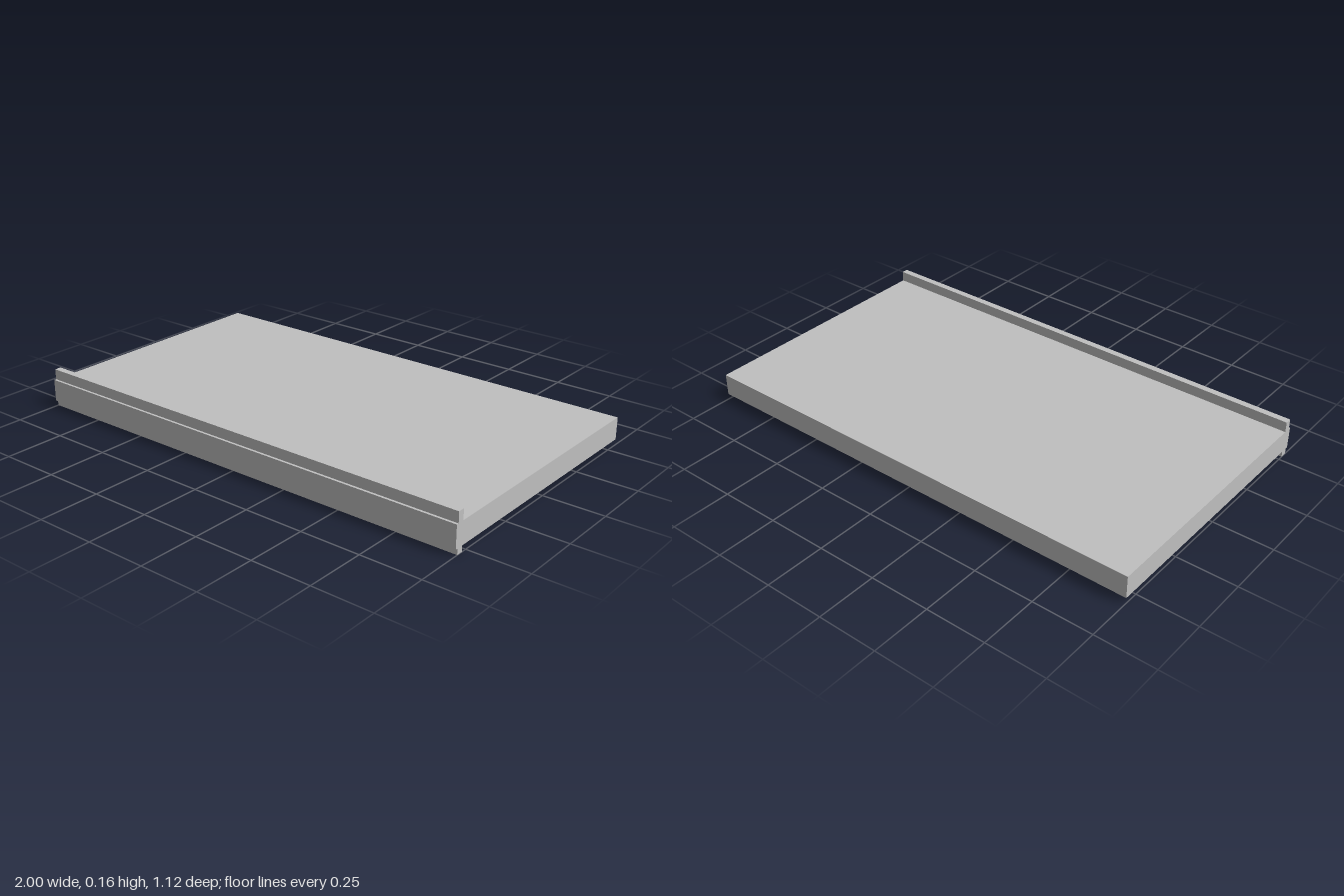
import * as THREE from 'three';

export function createModel() {
  const group = new THREE.Group();
  const grey = new THREE.MeshStandardMaterial({ color: 0xc0c0c0 });
  grey.name = 'light grey';

  // Box spanning the full width, given its y and z limits
  const addSlab = (name, y0, y1, z0, z1) => {
    const mesh = new THREE.Mesh(new THREE.BoxGeometry(2, y1 - y0, z1 - z0), grey);
    mesh.name = name;
    mesh.position.set(0, (y0 + y1) / 2, (z0 + z1) / 2);
    group.add(mesh);
  };

  // Main board
  addSlab('board', 0.024, 0.117, -0.56, 0.56);
  // Front rail: upper lip and lower lip standing proud of the board
  addSlab('upperLip', 0.117, 0.161, 0.522, 0.55);
  addSlab('lowerLip', 0, 0.024, 0.522, 0.55);

  return group;
}
